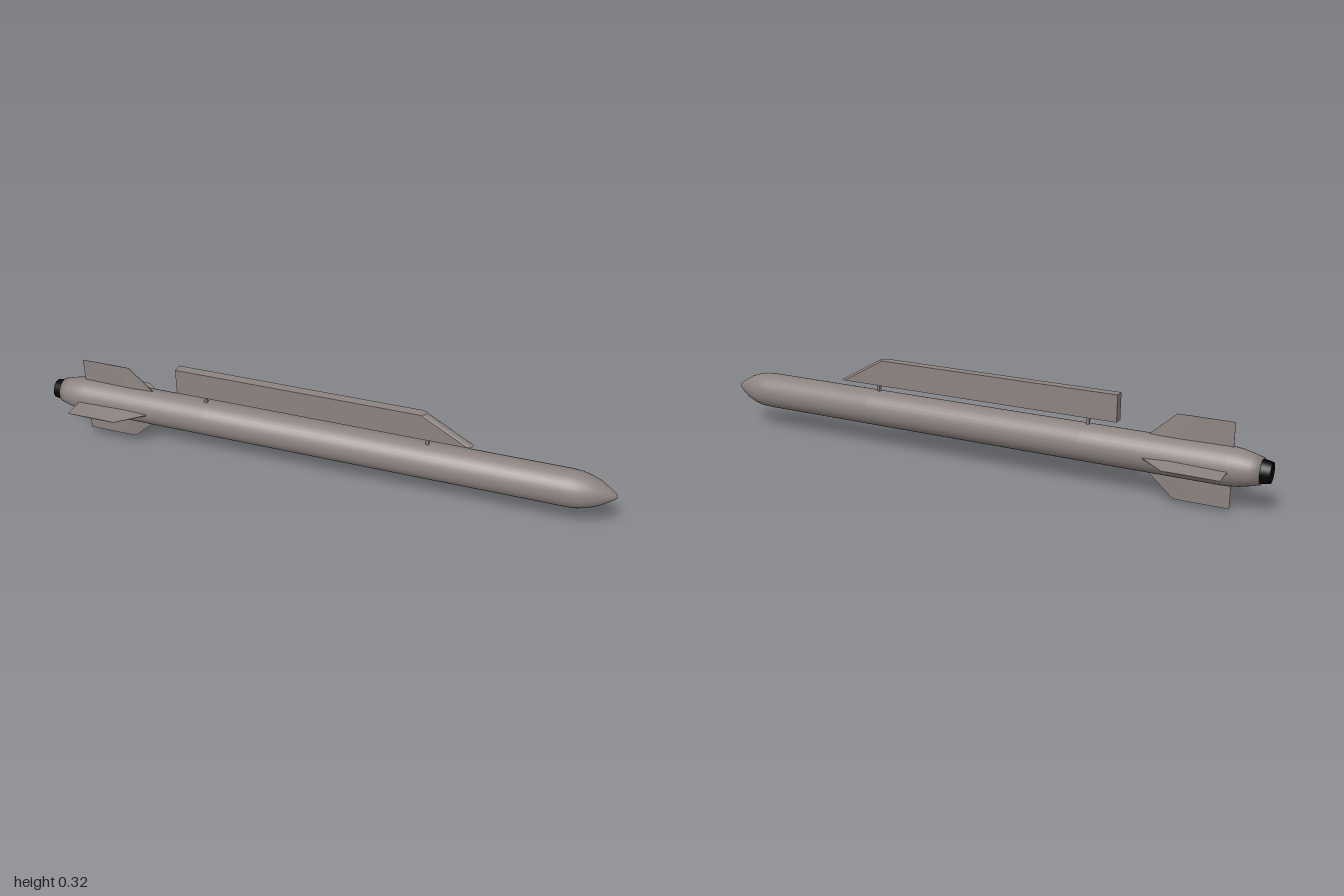
import * as THREE from 'three';

const AXIS = 0.141; // height of the body's centre line

// Outline extruded upward along +y; points are [x, z]
function extrudeUp(points, height) {
  const shape = new THREE.Shape(points.map(([x, z]) => new THREE.Vector2(x, -z)));
  const g = new THREE.ExtrudeGeometry(shape, { depth: height, bevelEnabled: false });
  return g.rotateX(-Math.PI / 2);
}

// Moves every vertex by a rule, then refreshes the flat normals
function reshape(g, rule) {
  const p = g.attributes.position;
  const v = new THREE.Vector3();
  for (let i = 0; i < p.count; i++) {
    rule(v.fromBufferAttribute(p, i));
    p.setXYZ(i, v.x, v.y, v.z);
  }
  g.computeVertexNormals();
  return g;
}

// Profile of [x, radius] turned around the x axis
function turned(profile) {
  const pts = profile.map(([x, r]) => new THREE.Vector2(r, x));
  return new THREE.LatheGeometry(pts, 32).rotateZ(-Math.PI / 2);
}

export function createModel() {
  const model = new THREE.Group();
  model.name = 'missileWithPylon';
  const grey = new THREE.MeshStandardMaterial({ color: 0x8c8380 });
  grey.name = 'warmGrey';
  const black = new THREE.MeshStandardMaterial({ color: 0x050505 });
  black.name = 'nozzleBlack';

  const add = (name, geometry, material, parent = model) => {
    const m = new THREE.Mesh(geometry, material);
    m.name = name;
    parent.add(m);
    return m;
  };

  // Body with boat tail and rounded nose
  add('body', turned([
    [-0.97, 0], [-0.97, 0.043], [-0.94, 0.051], [-0.91, 0.058], [-0.87, 0.063],
    [-0.4, 0.063], [0.4, 0.063], [0.85, 0.063], [0.88, 0.061], [0.91, 0.054],
    [0.94, 0.043], [0.97, 0.026], [0.99, 0.012], [0.998, 0.005], [1, 0],
  ]), grey).position.y = AXIS;

  // Exhaust nozzle
  const nozzle = new THREE.CylinderGeometry(0.039, 0.033, 0.032, 32).rotateZ(-Math.PI / 2);
  add('nozzle', nozzle, black).position.set(-0.984, AXIS, 0);

  // Four tapered tail fins: blunt leading edge, thin trailing edge
  const section = [[0, 0.25], [0.68, 1], [1, 0.3], [1, -0.3], [0.68, -1], [0, -0.25]];
  const rootR = 0.045, tipR = 0.141;
  const finGeometry = reshape(extrudeUp(section, 1), (v) => {
    const k = v.y;
    v.x = -0.88 + v.x * THREE.MathUtils.lerp(0.286, 0.18, k);
    v.z *= THREE.MathUtils.lerp(0.0068, 0.0015, k);
    v.y = THREE.MathUtils.lerp(rootR, tipR, k);
  });
  const fins = new THREE.Group();
  fins.name = 'tailFins';
  fins.position.y = AXIS;
  model.add(fins);
  ['topFin', 'frontFin', 'bottomFin', 'backFin'].forEach((name, i) => {
    add(name, finGeometry, grey, fins).rotation.x = i * Math.PI / 2;
  });

  // Pylon with a rounded leading edge, raked back toward the top
  const w = 0.017;
  const outline = [[-0.51, w], [0.515, w], [0.524, 0.012], [0.53, 0.005],
    [0.53, -0.005], [0.524, -0.012], [0.515, -w], [-0.51, -w]];
  const pylon = reshape(extrudeUp(outline, 0.091), (v) => {
    if (v.x > 0) v.x -= v.y * 1.75;
  });
  add('pylon', pylon, grey).position.y = 0.228;

  // Suspension lugs between body and pylon
  for (const [name, x] of [['rearLug', -0.408], ['frontLug', 0.38]]) {
    add(name, new THREE.BoxGeometry(0.01, 0.036, 0.012), grey).position.set(x, 0.215, 0);
  }
  return model;
}
